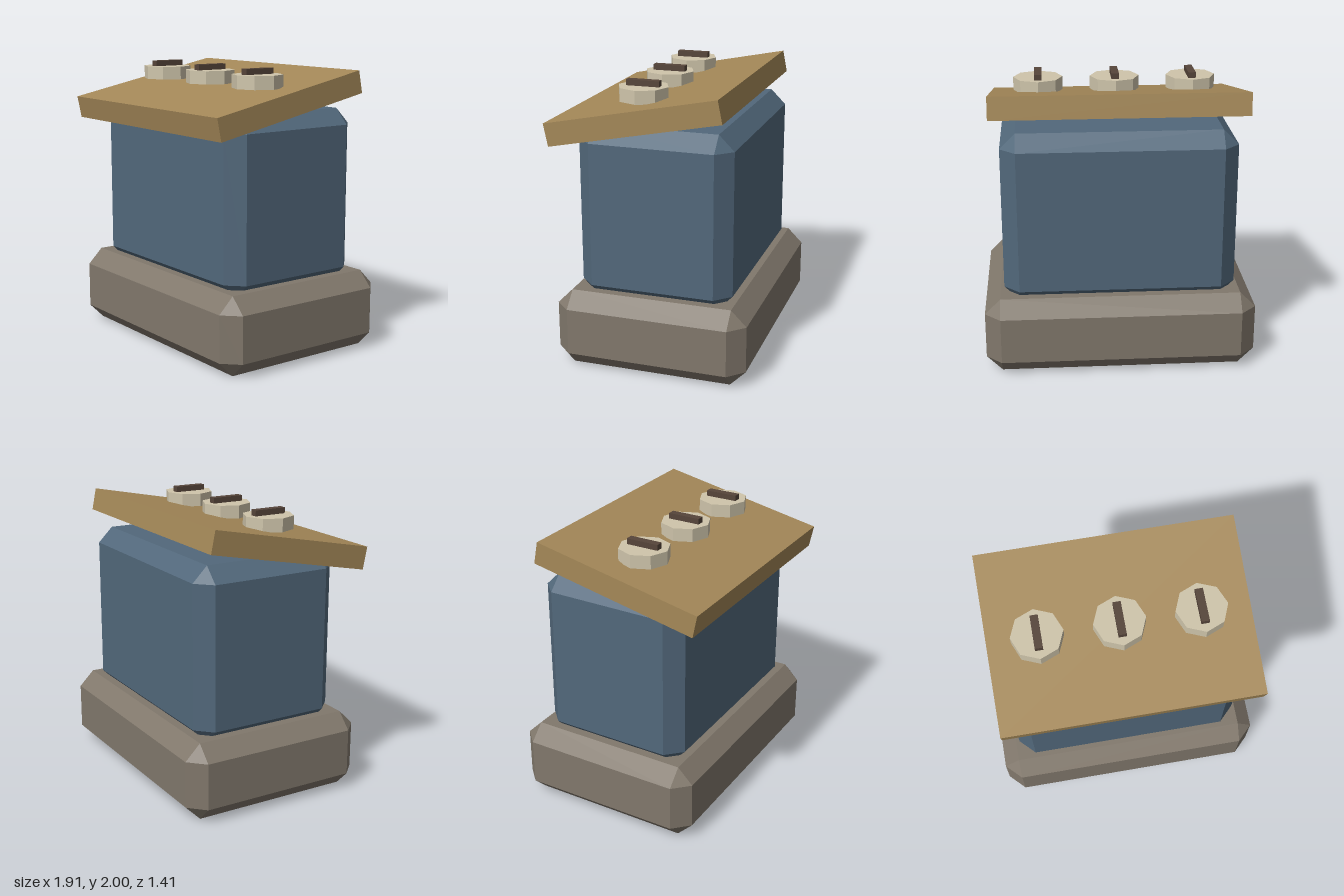
import * as THREE from 'three';
import { ConvexGeometry } from 'three/addons/geometries/ConvexGeometry.js';

const mat = (name, color) => {
  const m = new THREE.MeshStandardMaterial({ color });
  m.name = name;
  return m;
};

// Box with every edge cut at 45 degrees and triangular corners
function chamferedBox(w, h, d, b) {
  const points = [];
  for (const x of [-w / 2, w / 2])
    for (const y of [-h / 2, h / 2])
      for (const z of [-d / 2, d / 2]) {
        const ix = x - Math.sign(x) * b;
        const iy = y - Math.sign(y) * b;
        const iz = z - Math.sign(z) * b;
        points.push(
          new THREE.Vector3(x, iy, iz),
          new THREE.Vector3(ix, y, iz),
          new THREE.Vector3(ix, iy, z));
      }
  return new ConvexGeometry(points);
}

export function createModel() {
  const model = new THREE.Group();
  model.name = 'controlConsole';

  const stone = mat('warm grey', 0x81786c);
  const blue = mat('slate blue', 0x52687b);
  const brass = mat('dull brass', 0xa48858);
  const ivory = mat('ivory', 0xcfc5ab);
  const brown = mat('dark brown', 0x56453a);
  ivory.flatShading = true;

  const add = (name, geometry, material, x, y, z) => {
    const mesh = new THREE.Mesh(geometry, material);
    mesh.name = name;
    mesh.position.set(x, y, z);
    model.add(mesh);
    return mesh;
  };

  // Plinth and cabinet
  add('base', chamferedBox(1.91, 0.55, 1.364, 0.11), stone, 0, 0.275, -0.02);
  add('body', chamferedBox(1.635, 1.23, 1.09, 0.108), blue, 0, 1.095, -0.02);

  // Sloping control panel, lower at the front
  const panel = add('panel', new THREE.BoxGeometry(1.772, 0.16, 1.23), brass, 0, 1.778, 0.088);
  panel.rotation.x = 0.2;

  // Three eight-sided dials, each with a pointer bar
  const dial = new THREE.CylinderGeometry(0.176, 0.176, 0.093, 8);
  const pointer = new THREE.BoxGeometry(0.054, 0.05, 0.234);
  for (const x of [-0.546, 0, 0.546]) {
    add('dial', dial, ivory, x, 1.9135, 0.118);
    add('pointer', pointer, brown, x, 1.975, 0.117);
  }
  return model;
}
